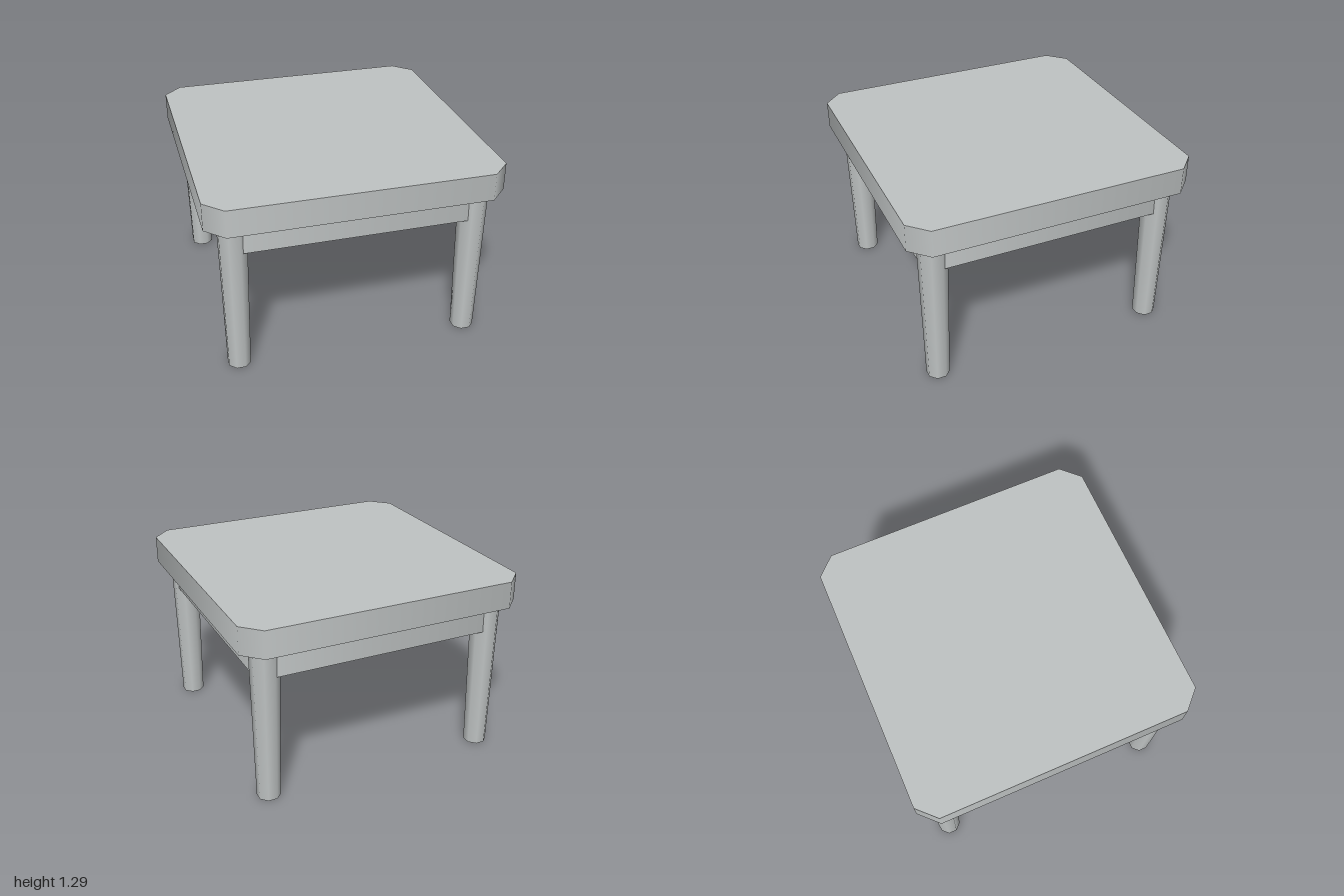
import * as THREE from 'three';

// Eight-sided prism, flats facing the axes, with softly shaded sides
function octagonPrism(topRadius, bottomRadius, height) {
  return new THREE.CylinderGeometry(topRadius, bottomRadius, height, 8, 1, false, Math.PI / 8);
}

// Square slab with cut corners: the octagon's corners are pushed out to the slab outline
function chamferedSlab(half, chamfer, height) {
  const geometry = octagonPrism(1, 1, height);
  const p = geometry.attributes.position;
  const inner = half - chamfer;
  for (let i = 0; i < p.count; i++) {
    const x = p.getX(i), z = p.getZ(i);
    if (Math.hypot(x, z) < 0.01) continue; // cap centres
    const wide = Math.abs(x) > Math.abs(z);
    p.setX(i, Math.sign(x) * (wide ? half : inner));
    p.setZ(i, Math.sign(z) * (wide ? inner : half));
  }
  return geometry;
}

export function createModel() {
  const group = new THREE.Group();
  group.name = 'table';

  const paleGrey = new THREE.MeshStandardMaterial({ color: 0xbfc3c3 });
  paleGrey.name = 'pale grey';

  const add = (name, geometry, x, y, z) => {
    const mesh = new THREE.Mesh(geometry, paleGrey);
    mesh.name = name;
    mesh.position.set(x, y, z);
    group.add(mesh);
  };

  // Table top and the solid apron beneath it
  add('tableTop', chamferedSlab(1, 0.125, 0.19), 0, 1.195, 0);
  add('apron', chamferedSlab(0.885, 0.12, 0.2), 0, 1.0, 0);

  // Four tapered legs
  const legGeometry = octagonPrism(0.1, 0.08, 1.1);
  for (const [side, sx] of [['Left', 1], ['Right', -1]]) {
    for (const [end, sz] of [['front', 1], ['back', -1]]) {
      add(`${end}${side}Leg`, legGeometry, sx * 0.813, 0.55, sz * 0.813);
    }
  }

  return group;
}
